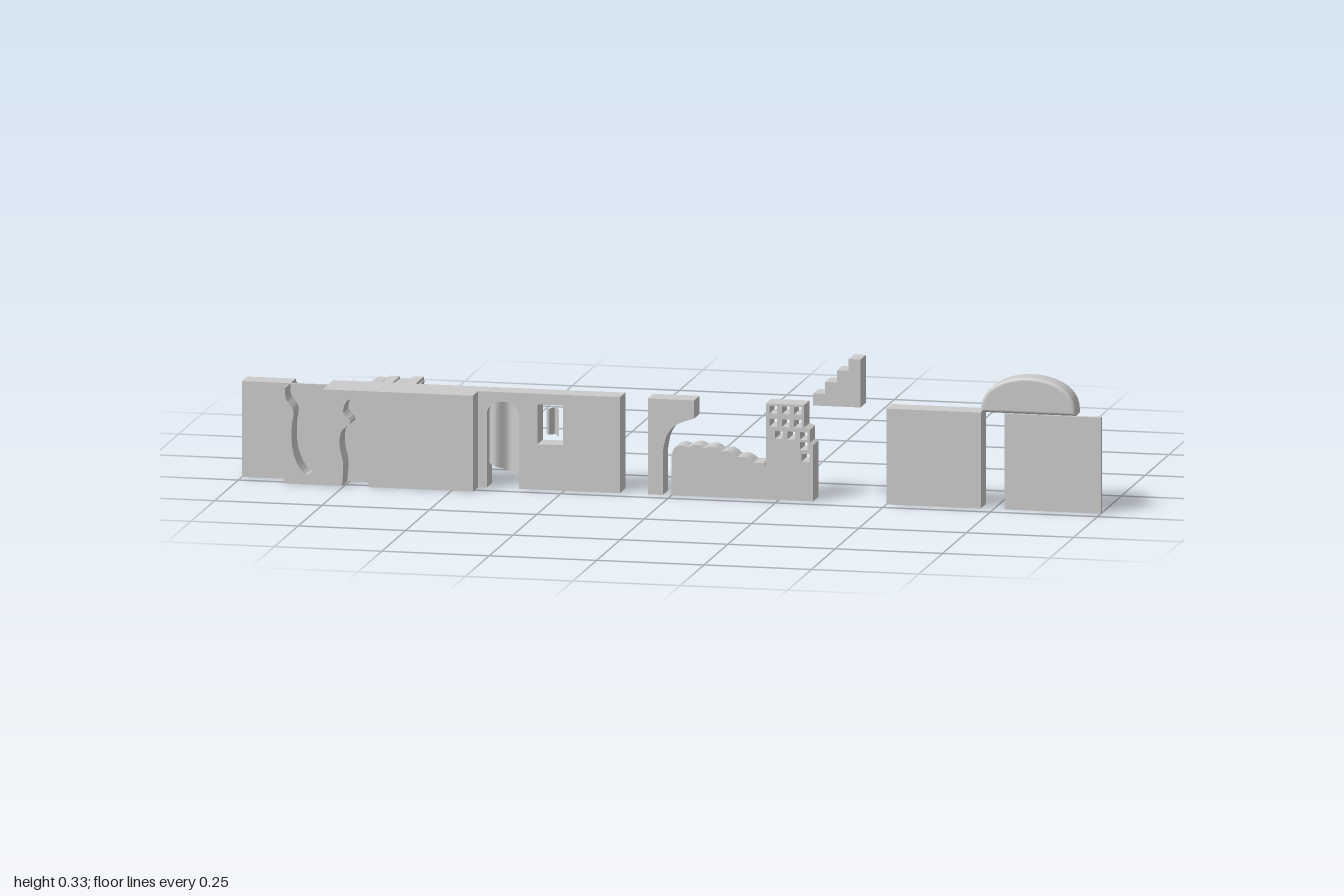
import * as THREE from 'three';

const BACK = 0.157, FACE = 0.213, FRONT = 0.268, H = 0.222;

export function createModel() {
  const model = new THREE.Group();
  const mat = new THREE.MeshStandardMaterial({ color: 0xcccccc, side: THREE.DoubleSide });
  const add = (name, geo, parent = model) => {
    const mesh = new THREE.Mesh(geo, mat);
    mesh.name = name;
    parent.add(mesh);
    return mesh;
  };
  const vecs = pts => pts.map(p => new THREE.Vector2(...p));
  // outline in x,y extruded between two z values
  const slab = (name, pts, z0, z1, holes = []) => {
    const shape = new THREE.Shape(vecs(pts));
    holes.forEach(h => shape.holes.push(new THREE.Path(vecs(h))));
    const geo = new THREE.ExtrudeGeometry(shape, { depth: z1 - z0, bevelEnabled: false });
    return add(name, geo.translate(0, 0, z0));
  };
  // side profile in z,y extruded along x
  const sideSlab = (name, pts, x0, x1) => {
    const geo = new THREE.ExtrudeGeometry(new THREE.Shape(vecs(pts.map(([z, y]) => [-z, y]))),
      { depth: x1 - x0, bevelEnabled: false });
    return add(name, geo.rotateY(Math.PI / 2).translate(x0, 0, 0));
  };
  const rect = (x0, x1, y0, y1) => [[x0, y0], [x1, y0], [x1, y1], [x0, y1]];
  // arched doorway cut, walked from its left foot to its right foot
  const arch = (x0, x1, top, rise) => {
    const pts = [[x0, 0]];
    for (let i = 0; i <= 12; i++) {
      const a = Math.PI * (1 - i / 12);
      pts.push([(x0 + x1) / 2 + Math.cos(a) * (x1 - x0) / 2, top - rise + Math.sin(a) * rise]);
    }
    return [...pts, [x1, 0]];
  };
  const smooth = (pts, n = 32) =>
    new THREE.SplineCurve(vecs(pts)).getPoints(n).map(p => [p.x, p.y]);

  // ragged gaps: one open at the top, one open at the bottom
  const upperGap = smooth([[-0.887, H], [-0.885, 0.195], [-0.868, 0.17], [-0.872, 0.13], [-0.87, 0.08],
    [-0.855, 0.04], [-0.835, 0.022], [-0.815, 0.045], [-0.81, 0.08], [-0.802, 0.11],
    [-0.81, 0.15], [-0.797, 0.185], [-0.8, H]], 40);
  const lowerGap = smooth([[-0.755, 0], [-0.752, 0.05], [-0.76, 0.09], [-0.757, 0.125], [-0.735, 0.148],
    [-0.752, 0.17], [-0.745, 0.195], [-0.725, 0.203], [-0.704, 0.19], [-0.702, 0.168], [-0.716, 0.15],
    [-0.695, 0.125], [-0.69, 0.08], [-0.698, 0.04], [-0.692, 0]], 48);

  // ramp at the far right end, with its end block
  sideSlab('ramp', [[BACK, 0], [-0.268, 0], [BACK, H]], -1, -0.89);
  slab('rampEndBlock', rect(-1, -0.89, 0, H), BACK, FACE);

  // long wall: gaps, doorways, window and niche
  const longWall = (xEnd, doors) => [[-0.89, 0], ...lowerGap, ...doors.flat(), [xEnd, 0],
    [xEnd, H], ...[...upperGap].reverse(), [-0.89, H]];
  const door = arch(-0.43, -0.355, 0.2, 0.03);
  const windowHole = rect(-0.312, -0.252, 0.105, 0.197);
  slab('longWall', longWall(-0.12, [arch(-0.675, -0.605, 0.175, 0.03), door]), BACK, 0.207,
    [windowHole, rect(-0.55, -0.465, 0.1, 0.195)]);
  slab('innerPanel', rect(-0.89, -0.45, 0, H), 0.207, FACE);
  slab('wallFace', [[-0.45, 0], ...door, [-0.12, 0], [-0.12, H], [-0.45, H]], 0.207, FACE, [windowHole]);
  slab('frontWall', longWall(-0.45, []), FACE, FRONT);

  // hanging cloths, waved in depth with a slanting lower edge
  const cloth = (name, x0, x1, y0, y1, z, slant) => {
    const geo = new THREE.PlaneGeometry(x1 - x0, y1 - y0, 16, 8);
    geo.translate((x0 + x1) / 2, (y0 + y1) / 2, z);
    const p = geo.attributes.position;
    for (let i = 0; i < p.count; i++) {
      const u = (p.getX(i) - x0) / (x1 - x0), v = (p.getY(i) - y0) / (y1 - y0);
      p.setZ(i, z + 0.009 * Math.sin(u * Math.PI * 2.5));
      p.setY(i, p.getY(i) + slant * (1 - u) * (1 - v));
    }
    geo.computeVertexNormals();
    add(name, geo);
  };
  cloth('doorCloth', -0.43, -0.355, 0.022, 0.198, 0.185, 0.03);
  cloth('windowCloth', -0.297, -0.266, 0.12, 0.185, 0.185, 0.006);
  cloth('nicheCloth', -0.55, -0.465, 0.1, 0.195, 0.19, 0);

  // awning behind the wall: curved support and uneven planks
  sideSlab('awningSupport', smooth([[BACK, 0.181], [0.13, 0.183], [0.1, 0.192], [0.065, 0.195], [0.035, 0.2],
    [0.037, 0.208], [0.07, 0.205], [0.11, 0.204], [BACK, 0.212]]), -0.715, -0.615);
  for (let i = 0; i < 4; i++) {
    const plank = add('awningPlank', new THREE.BoxGeometry(0.024, 0.007, 0.085 + 0.01 * (i % 2)));
    plank.position.set(-0.705 + i * 0.027, 0.213 + 0.002 * (i % 2), 0.1 + 0.005 * (i % 3));
    plank.rotation.x = -0.04 + 0.03 * (i % 2);
  }

  // hooked post with a curved bracket
  slab('hookedPost', [[-0.055, 0], [-0.02, 0], ...smooth([[-0.02, 0.1], [-0.012, 0.135],
    [0.01, 0.163], [0.053, 0.18]], 12), [0.053, H], [-0.055, H]], BACK, FACE);

  // crumbled wall rising into a perforated block
  const crumble = [[0.22, 0.075]];
  for (let i = 1; i < 36; i++) {
    const t = 1 - i / 36;
    crumble.push([0.22 * t, 0.088 + 0.024 * Math.sin(Math.PI * (0.25 + 0.95 * t))
      + 0.007 * Math.abs(Math.sin(t * 18))]);
  }
  const holes = [[0.208, 0.237], [0.208, 0.266], [0.208, 0.294], [0.178, 0.237], [0.178, 0.266],
    [0.178, 0.294], [0.15, 0.25], [0.15, 0.279], [0.15, 0.308], [0.127, 0.308], [0.1, 0.312]]
    .map(([y, x]) => rect(x - 0.009, x + 0.009, y - 0.009, y + 0.009));
  slab('crumbledWall', [[0, 0], [0.33, 0], [0.33, 0.13], [0.322, 0.135], [0.322, 0.165], [0.309, 0.17],
    [0.309, H], [0.22, H], ...crumble, [0, 0.095]], BACK, FACE, holes);

  // small flight of steps
  const steps = [[0.44, H]];
  for (let i = 3; i >= 0; i--) {
    const y = 0.25 + i * 0.0277;
    steps.push([0.33 + (i + 1) * 0.0275, y], [0.33 + i * 0.0275, y]);
  }
  slab('steps', [...steps, [0.33, H]], BACK, FACE);

  // end wall with an arched niche in its back
  slab('nicheWall', [[0.5, 0], ...arch(0.54, 0.685, 0.185, 0.072), [0.72, 0], [0.72, H], [0.5, H]], BACK, 0.2);
  slab('nicheWallFace', rect(0.5, 0.72, 0, H), 0.2, FACE);

  // thin panel and the round-edged dome above the doorway
  slab('thinPanel', rect(0.775, 1, 0, H), 0.202, FACE);
  const b = 0.008, dome = [];
  for (let i = 0; i <= 32; i++) {
    const a = Math.PI * i / 32;
    dome.push([0.83 + (0.11 - b) * Math.cos(a), H + b + (0.085 - 2 * b) * Math.pow(Math.sin(a), 0.9)]);
  }
  const domeGeo = new THREE.ExtrudeGeometry(new THREE.Shape(vecs(dome)), { depth: FACE - BACK - 2 * b,
    bevelSize: b, bevelThickness: b, bevelSegments: 4 });
  add('dome', domeGeo.translate(0, 0, BACK + b));

  return model;
}
